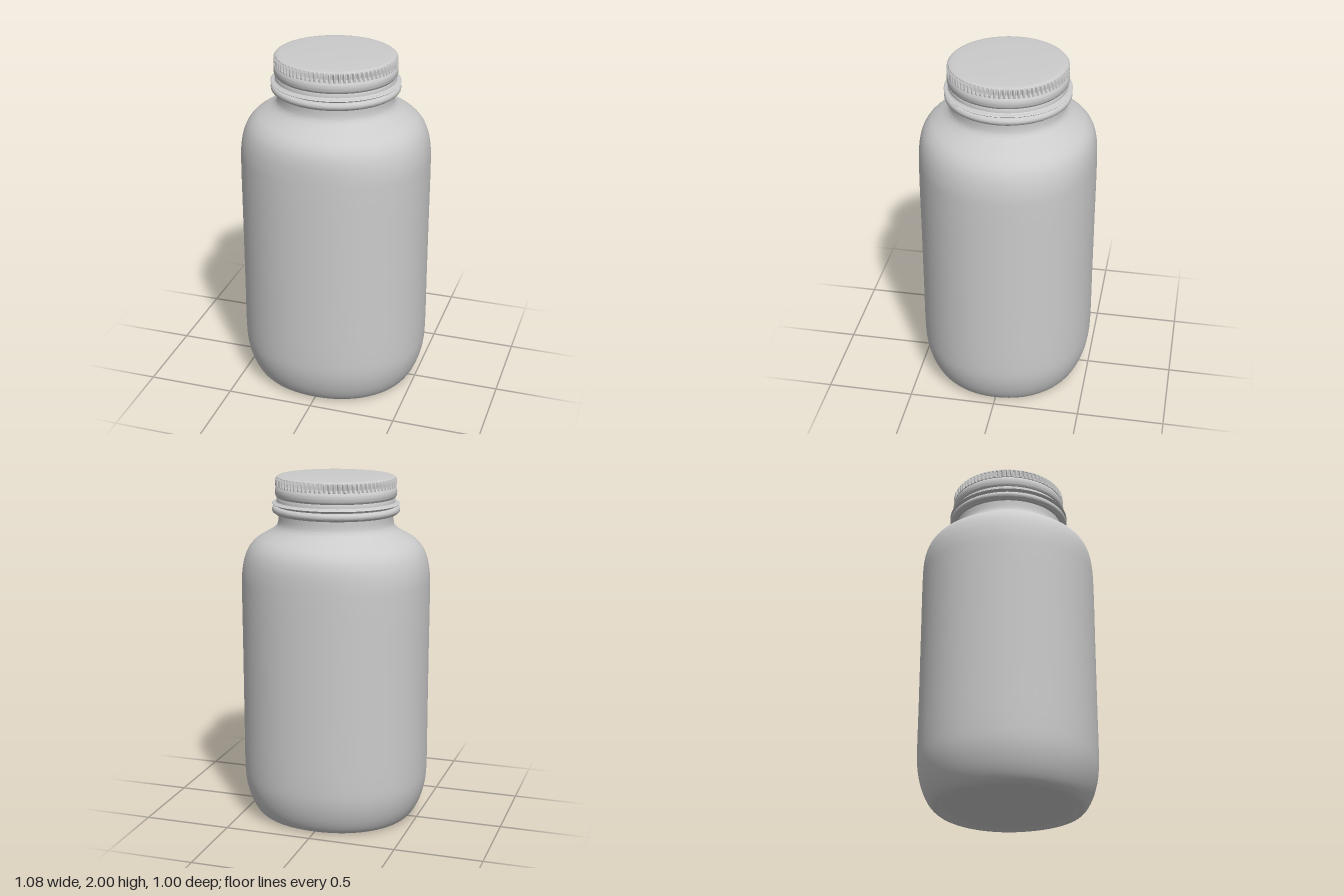
import * as THREE from 'three';
import { toCreasedNormals } from 'three/addons/utils/BufferGeometryUtils.js';

const material = new THREE.MeshStandardMaterial({ color: 0xcccccc });
const NECK_SQUASH = 0.97; // depth / width of the neck and lid
const BODY_SQUASH = 0.928; // depth / width of the body

// Lathe a list of [radius, y] points (bottom to top), then bend every vertex by a rule.
function turned(name, points, segments, rule, crease = 0.6) {
  const lathe = new THREE.LatheGeometry(points.map(([r, y]) => new THREE.Vector2(r, y)), segments);
  const p = lathe.attributes.position;
  for (let i = 0; i < p.count; i++) {
    const [x, z] = rule(p.getX(i), p.getY(i), p.getZ(i));
    p.setXYZ(i, x, p.getY(i), z);
  }
  const mesh = new THREE.Mesh(toCreasedNormals(lathe, crease), material);
  mesh.name = name;
  return mesh;
}

// Smooth curve through a few profile points.
function smooth(points, count) {
  const curve = new THREE.CatmullRomCurve3(points.map(([r, y]) => new THREE.Vector3(r, y, 0)), false, 'centripetal');
  return curve.getPoints(count).map((v) => [v.x, v.y]);
}

// Round bead: half circle bulging outwards from a wall.
function bead(r, y, bulge, half, steps = 8) {
  return Array.from({ length: steps + 1 }, (_, i) => {
    const a = -Math.PI / 2 + (Math.PI * i) / steps;
    return [r + bulge * Math.cos(a), y + half * Math.sin(a)];
  });
}

const neckRule = (x, y, z) => [x, z * NECK_SQUASH];

// Body is a slightly squared oval that turns into the rounder neck above the shoulder.
function bodyRule(x, y, z) {
  const r = Math.hypot(x, z);
  if (r < 1e-6) return [0, 0]; // centre of the base
  const t = THREE.MathUtils.smoothstep(y, 1.4, 1.72);
  const n = THREE.MathUtils.lerp(2.12, 2, t);
  const k = Math.pow(Math.abs(x / r) ** n + Math.abs(z / r) ** n, -1 / n);
  return [x * k, z * k * THREE.MathUtils.lerp(BODY_SQUASH, NECK_SQUASH, t)];
}

export function createModel() {
  const group = new THREE.Group();
  group.name = 'jar';

  // Body: recessed base, foot rim, wall, shoulder and neck
  const base = [[0, 0.022], [0.2, 0.021], [0.38, 0.018], [0.4, 0.012], [0.412, 0.002]];
  const wall = smooth([
    [0.425, 0], [0.445, 0.008], [0.468, 0.03], [0.497, 0.08], [0.52, 0.145], [0.533, 0.21], [0.538, 0.29],
    [0.538, 0.6], [0.538, 1.0], [0.538, 1.38], [0.535, 1.45], [0.522, 1.525], [0.498, 1.585],
    [0.46, 1.63], [0.41, 1.662], [0.362, 1.69], [0.336, 1.715], [0.328, 1.74], [0.327, 1.785],
  ], 60);
  group.add(turned('body', [...base, ...wall], 96, bodyRule));

  // Lower collar under the lid
  group.add(turned('collar', [
    [0.32, 1.782], [0.345, 1.782], ...bead(0.35, 1.806, 0.013, 0.018), [0.34, 1.826], [0.32, 1.826],
  ], 96, neckRule));

  // Lid skirt: thin flange, then a rolled band
  group.add(turned('lidSkirt', [
    [0.32, 1.822], [0.339, 1.826], ...bead(0.345, 1.84, 0.019, 0.006, 6),
    [0.338, 1.852], [0.337, 1.868],
    ...smooth([[0.334, 1.874], [0.342, 1.884], [0.346, 1.905], [0.344, 1.922], [0.337, 1.935]], 12),
    [0.33, 1.938],
  ], 96, neckRule));

  // Knurled grip band: notches cut inwards at even steps
  const notches = 80;
  const knurlRule = (x, y, z) => {
    const wave = 0.5 + 0.5 * Math.cos(Math.atan2(x, z) * notches);
    const fade = THREE.MathUtils.smoothstep(y, 1.936, 1.95) * (1 - THREE.MathUtils.smoothstep(y, 1.982, 1.987));
    const k = 1 - 0.045 * fade * THREE.MathUtils.smoothstep(wave, 0.2, 0.8);
    return [x * k, z * k * NECK_SQUASH];
  };
  group.add(turned('lidGrip', [
    [0.33, 1.934], [0.341, 1.936], [0.344, 1.943], [0.344, 1.95], [0.344, 1.965],
    [0.343, 1.978], [0.34, 1.983], [0.334, 1.988],
  ], notches * 8, knurlRule, 0.7));

  // Lid top: shallow dome
  group.add(turned('lidTop', [
    [0.336, 1.982], [0.335, 1.988], [0.328, 1.992], [0.31, 1.994], [0.22, 1.997], [0.1, 1.999], [0, 2],
  ], 96, neckRule));

  return group;
}
